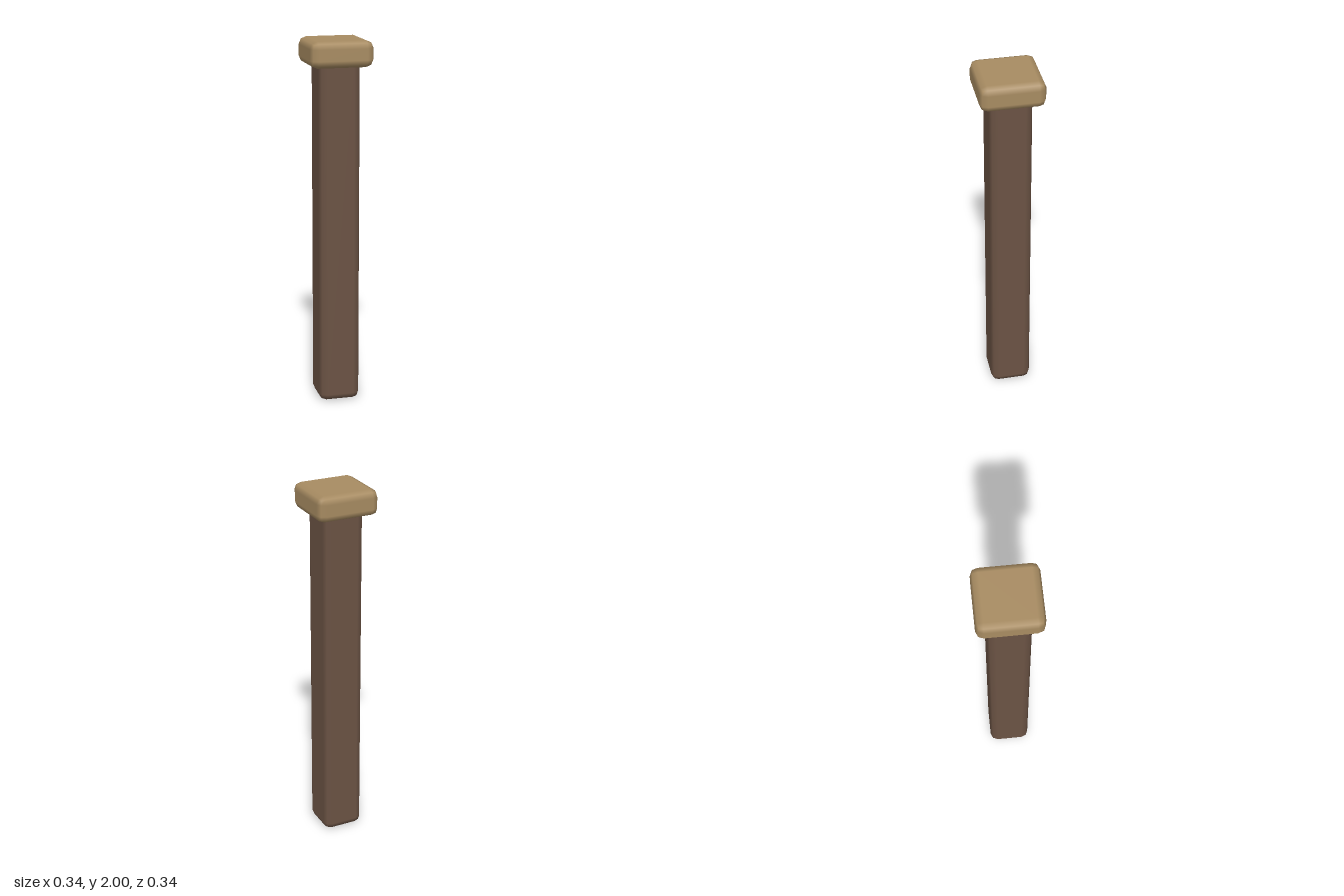
import * as THREE from 'three';
import { RoundedBoxGeometry } from 'three/addons/geometries/RoundedBoxGeometry.js';

// Square rounded block standing between two heights
function block(name, width, bottom, top, radius, color) {
  const geometry = new RoundedBoxGeometry(width, top - bottom, width, 1, radius);
  const mesh = new THREE.Mesh(geometry, new THREE.MeshStandardMaterial({ color }));
  mesh.name = name;
  mesh.position.y = (bottom + top) / 2;
  return mesh;
}

export function createModel() {
  const post = new THREE.Group();
  post.name = 'post';

  // Shaft runs up into the cap, so its rounded top stays hidden
  post.add(block('shaft', 0.225, 0, 1.93, 0.04, 0x6b5344));

  // Wider flat cap on top
  post.add(block('cap', 0.34, 1.86, 2, 0.04, 0xa88c62));

  return post;
}
